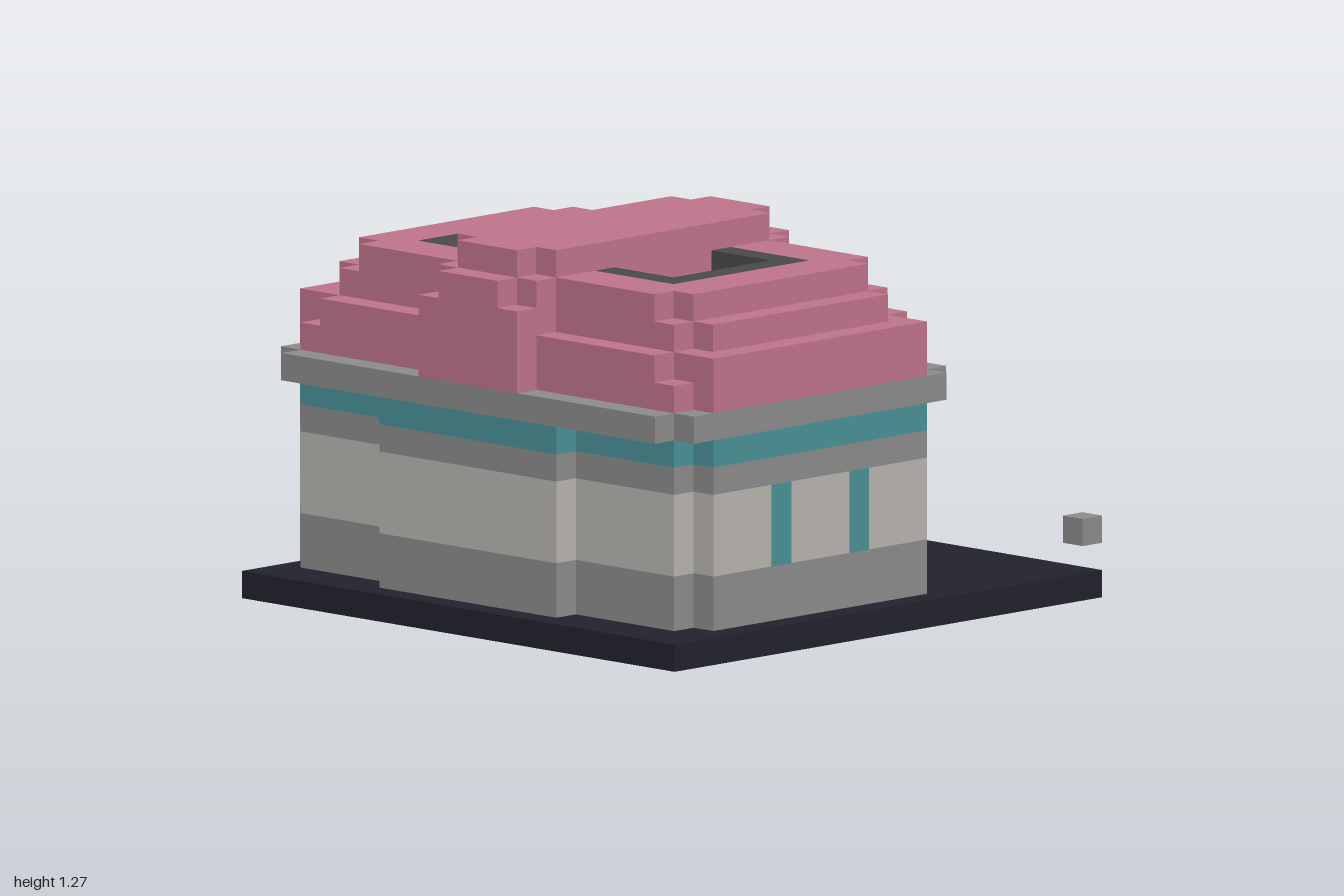
import * as THREE from 'three';

const U = 1 / 11; // one block; the base is 22 blocks square

const paint = (name, color) => {
  const m = new THREE.MeshStandardMaterial({ color });
  m.name = name;
  return m;
};

export function createModel() {
  const model = new THREE.Group();
  model.name = 'bank';
  const ground = paint('nightBlue', 0x22222d);
  const grey = paint('stoneGrey', 0x8d8d8d);
  const beige = paint('paleStone', 0xbab7b2);
  const teal = paint('teal', 0x4a9297);
  const pink = paint('rosePink', 0xc1758c);
  const dark = paint('charcoal', 0x4a4a4a);

  // A part is a stack layer y0..y1 made of plan rectangles [x0, x1, z0, z1], in blocks
  function part(name, mat, y0, y1, rects) {
    const group = new THREE.Group();
    group.name = name;
    for (const [x0, x1, z0, z1] of rects) {
      const geo = new THREE.BoxGeometry((x1 - x0) * U, (y1 - y0) * U, (z1 - z0) * U);
      const mesh = new THREE.Mesh(geo, mat);
      mesh.name = name;
      mesh.position.set((x0 + x1) / 2 * U - 1, (y0 + y1) / 2 * U, (z0 + z1) / 2 * U - 1);
      group.add(mesh);
    }
    model.add(group);
  }

  // Base with a pale path set into the back edge
  part('base', ground, 0, 1, [[0, 22, 3, 22], [0, 8, 0, 3], [13, 22, 0, 3]]);
  part('path', beige, 0, 1, [[8, 13, 0, 3]]);

  // Stepped walls in coloured bands
  const walls = [[0, 21, 8, 19], [1, 20, 7, 20], [6, 15, 8, 21]];
  const porch = [[6, 8, 6, 7], [13, 15, 6, 7]];
  part('plinth', grey, 1, 3, [...walls, ...porch]);
  part('wall', beige, 3, 6, [...walls, ...porch]);
  part('wallBand', grey, 6, 7, walls);
  part('frieze', teal, 7, 8, walls);
  part('cornice', grey, 8, 9, [[0, 21, 7, 20], [1, 20, 6, 21]]);

  // Side windows
  for (const z of [11, 15]) {
    part('sideWindow', teal, 3, 6, [[-0.02, 0, z, z + 1], [21, 21.02, z, z + 1]]);
  }

  // Stepped roof
  part('roofLower', pink, 9, 10, [[0, 21, 8, 19], [1, 20, 7, 20]]);
  part('roofLower', pink, 10, 11, [[0, 21, 8, 19], [2, 19, 7, 20]]);
  part('roofMiddle', pink, 11, 12, [[1, 20, 9, 18], [2, 19, 8, 19]]);
  part('roofTop', pink, 12, 13,
    [[2, 4, 9, 18], [17, 19, 9, 18], [3, 18, 8, 10], [3, 18, 17, 19]]);

  // Central ridge
  part('ridge', pink, 9, 12, [[8, 13, 7, 21]]);
  part('ridge', pink, 12, 13, [[8, 13, 7, 20], [9, 12, 6, 21]]);
  part('ridge', pink, 13, 14, [[8, 13, 8, 19], [9, 12, 7, 20]]);

  // Sunken roof wells either side of the ridge
  for (const [outer, inner, ridge] of [[4, 5, 8], [17, 16, 13]]) {
    const a = Math.min(inner, ridge), b = Math.max(inner, ridge);
    part('wellRim', dark, 12, 13, [
      [Math.min(outer, inner), Math.max(outer, inner), 10, 17],
      [a, b, 10, 11], [a, b, 16, 17],
    ]);
    part('wellFloor', dark, 12, 12.05, [[a, b, 11, 16]]);
  }

  // Dark frame over the door
  part('sill', dark, 6, 7, [[6, 15, 5, 7]]);
  part('frameSide', dark, 7, 11, [[7, 8, 5, 6], [13, 14, 5, 6]]);
  part('frameShoulder', dark, 9, 11, [[7, 8, 6, 7], [13, 14, 6, 7]]);
  part('frameTop', dark, 11, 12, [[8, 13, 5, 7]]);
  part('frameBack', dark, 8, 11, [[8, 13, 5.9, 7]]);
  part('frameFoot', beige, 7, 8, [[7, 14, 6, 7]]);

  // Pale square ring inside the frame
  part('ringSide', beige, 8, 11, [[9, 10, 5, 6], [11, 12, 5, 6]]);
  part('ringBottom', beige, 8, 9, [[10, 11, 5, 6]]);
  part('ringTop', beige, 10, 11, [[10, 11, 5, 6]]);

  // Doorway, posts and steps
  part('door', teal, 2, 4, [[8, 10, 6, 7], [11, 13, 6, 7], [10, 11, 6.95, 7]]);
  part('doorTop', teal, 4, 6, [[8, 13, 6, 7]]);
  part('doorPost', pink, 2, 6, [[7, 8, 5, 6], [13, 14, 5, 6]]);
  part('postFoot', grey, 1, 2, [[7, 8, 5, 6], [13, 14, 5, 6]]);
  part('step', grey, 1, 2, [[8, 13, 3, 7]]);
  part('stepPillar', grey, 2, 4, [[8, 9, 4, 5], [12, 13, 4, 5]]);

  // Loose blocks
  part('pathBlock', grey, 1, 2, [[10, 11, 0, 1]]);
  part('floatingBlock', grey, 2, 3, [[21, 22, 0, 1]]);

  return model;
}
